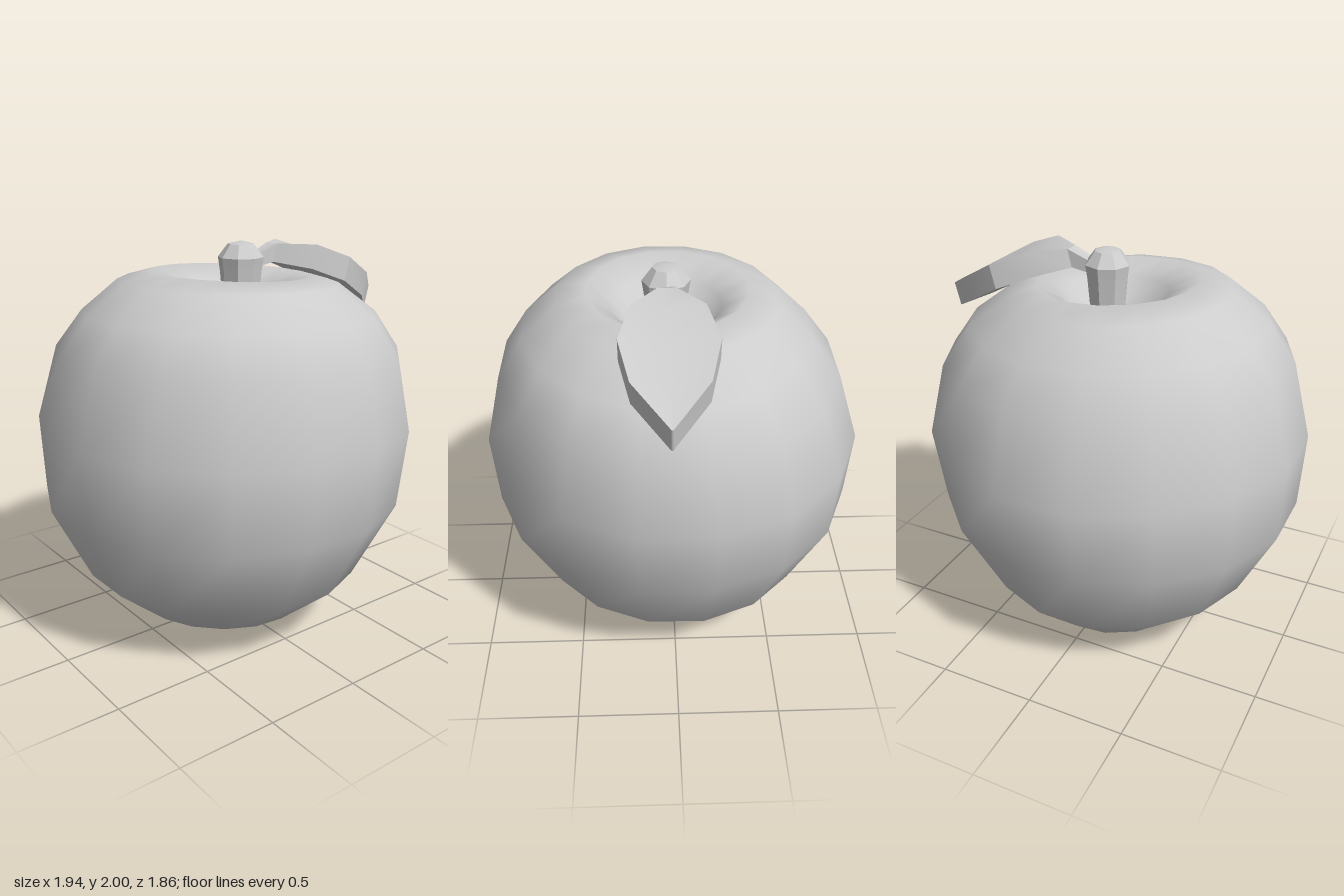
import * as THREE from 'three';
import { toCreasedNormals } from 'three/addons/utils/BufferGeometryUtils.js';

// Skins closed cross-section loops of equal length, closing both ends on a single point.
function loft(start, loops, end) {
  const n = loops[0].length;
  const points = [start, ...loops.flat(), end];
  const last = points.length - 1;
  const at = (i, j) => 1 + i * n + (j % n);
  const index = [];
  for (let j = 0; j < n; j++) {
    index.push(0, at(0, j), at(0, j + 1));
    for (let i = 0; i < loops.length - 1; i++) {
      index.push(at(i, j), at(i + 1, j), at(i, j + 1));
      index.push(at(i + 1, j), at(i + 1, j + 1), at(i, j + 1));
    }
    index.push(at(loops.length - 1, j), last, at(loops.length - 1, j + 1));
  }
  const geometry = new THREE.BufferGeometry();
  geometry.setAttribute('position', new THREE.Float32BufferAttribute(points.flat(), 3));
  geometry.setIndex(index);
  geometry.computeVertexNormals();
  return geometry;
}

// Sixteen-sided ring whose plane leans by slopeX and slopeZ.
function ring([cx, cz, y, rx, rz, slopeX, slopeZ]) {
  return Array.from({ length: 16 }, (_, j) => {
    const a = ((j + 0.5) / 16) * Math.PI * 2;
    const x = Math.cos(a) * rx;
    const z = Math.sin(a) * rz;
    return [cx + x, y + slopeX * x + slopeZ * z, cz + z];
  });
}

// Leaf cross-section with a shallow valley along the midrib.
function leafSection([x, half, y, thick]) {
  const z = 0.03;
  const valley = half * 0.12;
  const bx = x - thick * 0.25;
  const by = y - thick;
  return [
    [x, y, z + half], [x, y - valley, z], [x, y, z - half],
    [bx, by, z - half], [bx, by - valley, z], [bx, by, z + half],
  ];
}

export function createModel() {
  const group = new THREE.Group();
  const grey = new THREE.MeshStandardMaterial({ color: 0xcccccc });
  grey.name = 'plain grey';

  const add = (name, geometry) => {
    const mesh = new THREE.Mesh(geometry, grey);
    mesh.name = name;
    group.add(mesh);
  };

  // Slightly lopsided fruit, from the base up over the rim into the hollow
  const rings = [
    [-0.05, 0, 0.06, 0.2, 0.2, -0.08, 0.07],
    [-0.05, 0, 0.047, 0.43, 0.43, -0.083, 0.07],
    [-0.05, 0, 0.32, 0.725, 0.73, -0.028, 0.014],
    [-0.035, 0, 0.725, 0.933, 0.925, -0.006, 0],
    [-0.015, 0, 1.11, 0.973, 0.946, -0.016, 0.01],
    [0, 0.015, 1.475, 0.887, 0.842, -0.034, 0.012],
    [0, 0.025, 1.66, 0.755, 0.71, -0.034, 0.014],
    [-0.01, 0.025, 1.81, 0.555, 0.54, -0.04, 0.01],
    [0, 0.025, 1.85, 0.4, 0.39, -0.05, 0],
    [0.02, 0.03, 1.78, 0.27, 0.27, -0.04, 0],
    [0.04, 0.03, 1.64, 0.16, 0.16, 0, 0],
  ].map(ring);
  add('fruit', loft([-0.05, 0.08, 0], rings, [0.05, 1.58, 0.03]));

  // Tapered stem with a bevelled, pointed head
  const profile = [
    [0, 1.56], [0.08, 1.56], [0.105, 1.85], [0.115, 1.92], [0.065, 1.985], [0, 2],
  ].map(([r, y]) => new THREE.Vector2(r, y));
  const stem = toCreasedNormals(new THREE.LatheGeometry(profile, 8), 0.5);
  stem.translate(0.06, 0, 0.03);
  add('stem', stem);

  // Thick drooping leaf with a short stalk
  const sections = [
    [0.13, 0.03, 1.92, 0.06], [0.26, 0.04, 1.975, 0.09], [0.42, 0.165, 1.97, 0.12],
    [0.6, 0.22, 1.9, 0.12], [0.78, 0.17, 1.8, 0.12], [0.97, 0.004, 1.69, 0.12],
  ].map(leafSection);
  const leaf = loft([0.12, 1.89, 0.03], sections, [0.957, 1.63, 0.03]);
  add('leaf', toCreasedNormals(leaf, 0.45));

  return group;
}
